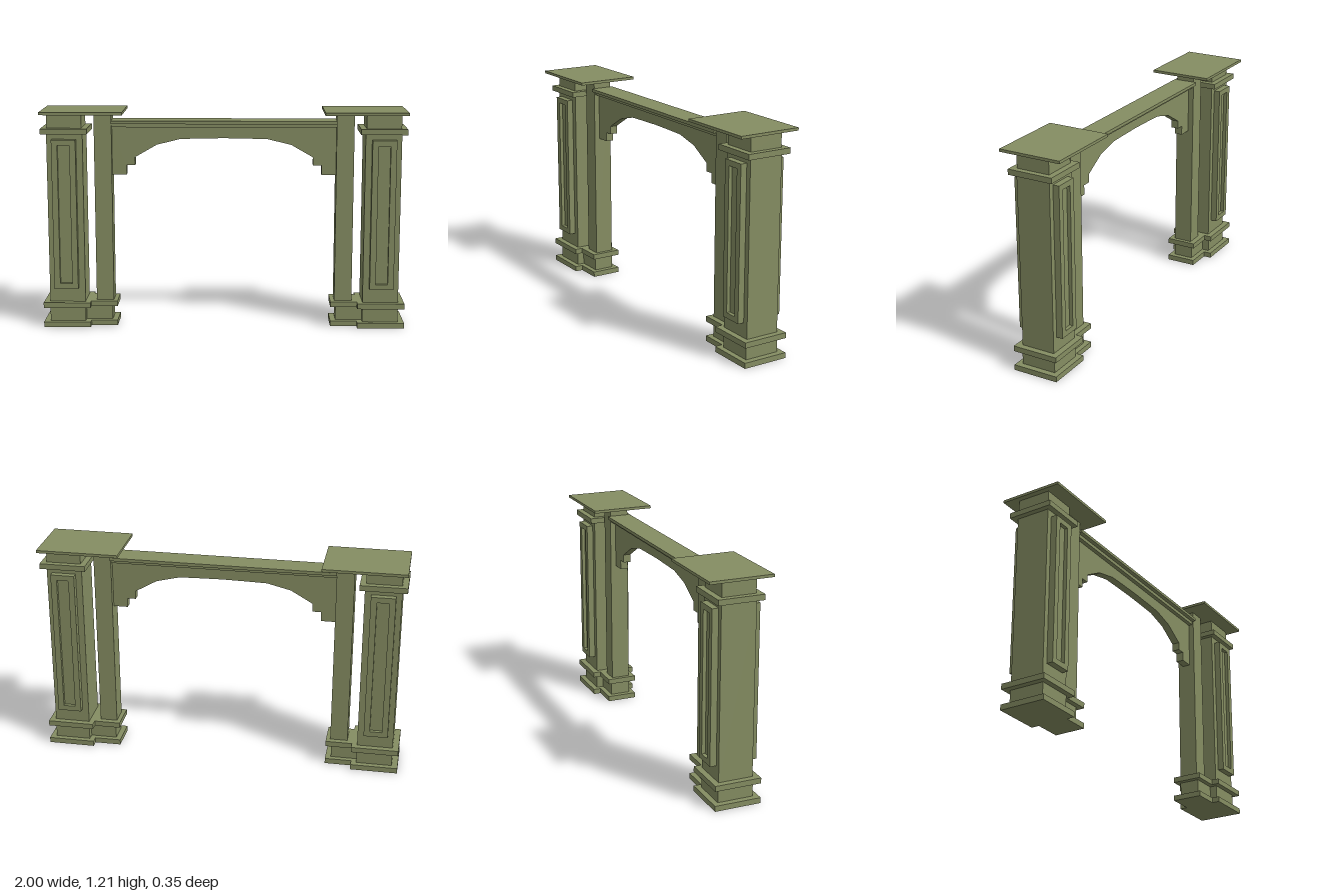
import * as THREE from 'three';

const material = new THREE.MeshStandardMaterial({ color: 0x858d62 });

function add(parent, name, geometry) {
  const mesh = new THREE.Mesh(geometry, material);
  mesh.name = name;
  parent.add(mesh);
  return mesh;
}

// Box from x and y ranges, centred on z with half depth d
function block(parent, name, x0, x1, y0, y1, d) {
  const mesh = add(parent, name, new THREE.BoxGeometry(x1 - x0, y1 - y0, 2 * d));
  mesh.position.set((x0 + x1) / 2, (y0 + y1) / 2, 0);
  return mesh;
}

function rectangle(PathType, x0, x1, y0, y1) {
  return new PathType([[x0, y0], [x1, y0], [x1, y1], [x0, y1]].map(([x, y]) => new THREE.Vector2(x, y)));
}

// Raised frame around a recessed field
function panel(parent, side) {
  const group = new THREE.Group();
  group.name = side > 0 ? 'frontPanel' : 'backPanel';
  const frame = rectangle(THREE.Shape, 0.805, 0.937, 0.22, 1.05);
  frame.holes.push(rectangle(THREE.Path, 0.838, 0.904, 0.25, 1.02));
  const frameMesh = add(group, 'panelFrame', new THREE.ExtrudeGeometry(frame, { depth: 0.035, bevelEnabled: false }));
  frameMesh.position.z = side > 0 ? 0.095 : -0.13;
  const field = add(group, 'panelField', new THREE.BoxGeometry(0.066, 0.77, 0.015));
  field.position.set(0.871, 0.635, side * 0.1025);
  parent.add(group);
}

function pier(side) {
  const group = new THREE.Group();
  group.name = side > 0 ? 'leftPier' : 'rightPier';
  const place = (name, x0, x1, y0, y1, d) =>
    side > 0 ? block(group, name, x0, x1, y0, y1, d) : block(group, name, -x1, -x0, y0, y1, d);

  // Outer column with its mouldings
  place('plinth', 0.74, 1, 0, 0.03, 0.128);
  place('pedestal', 0.77, 0.967, 0.03, 0.11, 0.098);
  place('lowerMoulding', 0.74, 1, 0.11, 0.14, 0.128);
  place('shaft', 0.77, 0.967, 0.14, 1.08, 0.095);
  place('upperMoulding', 0.743, 0.996, 1.08, 1.11, 0.126);
  place('neck', 0.775, 0.965, 1.11, 1.19, 0.093);

  // Slim inner post
  place('innerPlinth', 0.593, 0.74, 0, 0.03, 0.085);
  place('innerPedestal', 0.623, 0.77, 0.03, 0.11, 0.057);
  place('innerMoulding', 0.593, 0.74, 0.11, 0.14, 0.085);
  place('innerPost', 0.616, 0.712, 0.14, 1.19, 0.053);

  place('cap', 0.546, 0.995, 1.19, 1.205, 0.173);

  // Panels on front and back, moved across for the right pier
  const panels = new THREE.Group();
  panels.name = 'panels';
  panel(panels, 1);
  panel(panels, -1);
  if (side < 0) panels.position.x = -2 * 0.871;
  group.add(panels);
  return group;
}

function lintel() {
  const group = new THREE.Group();
  group.name = 'lintel';

  // Arched fascia with stepped ends, mirrored about the middle
  const half = [[0.62, 0.845], [0.537, 0.845], [0.537, 0.897], [0.49, 0.897], [0.49, 0.942],
    [0.37, 1.011], [0.24, 1.043], [0.12, 1.046]];
  const points = [[0.62, 1.115], ...half, [0, 1.048],
    ...half.map(([x, y]) => [-x, y]).reverse(), [-0.62, 1.115]];
  const shape = new THREE.Shape(points.map(([x, y]) => new THREE.Vector2(x, y)));
  const fascia = add(group, 'archFascia', new THREE.ExtrudeGeometry(shape, { depth: 0.044, bevelEnabled: false }));
  fascia.position.z = -0.022;

  // Stepped shelf on top
  block(group, 'shelfMoulding', -0.617, 0.617, 1.11, 1.13, 0.045);
  block(group, 'shelf', -0.617, 0.617, 1.13, 1.147, 0.068);
  return group;
}

export function createModel() {
  const model = new THREE.Group();
  model.name = 'portal';
  model.add(pier(1), pier(-1), lintel());
  return model;
}
